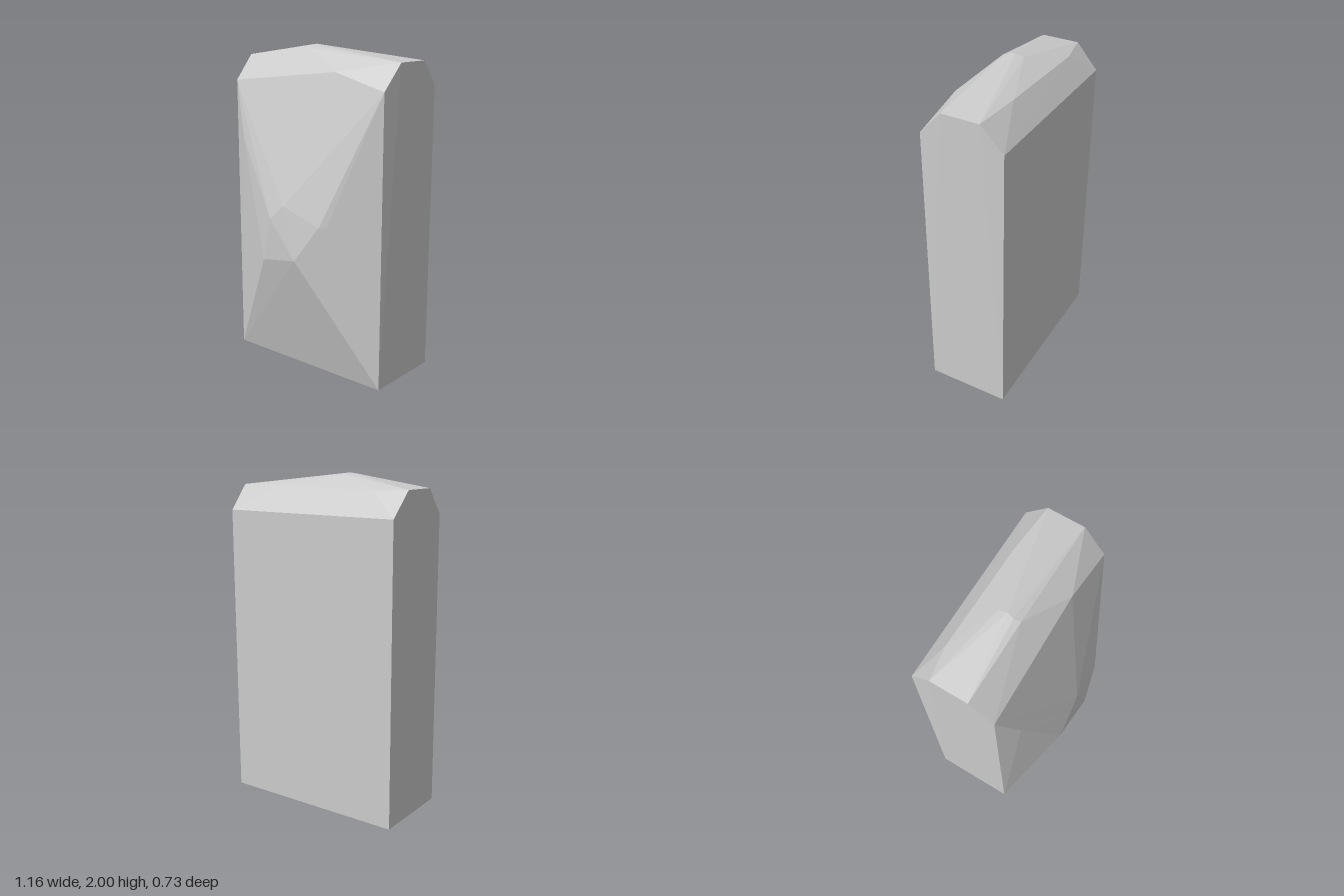
import * as THREE from 'three';
import { ConvexGeometry } from 'three/addons/geometries/ConvexGeometry.js';

export function createModel() {
  const group = new THREE.Group();
  group.name = 'facetedSlab';
  const v = (x, y, z) => new THREE.Vector3(x, y, z);
  const points = [];

  // Side panels, mirrored: square foot, chamfered top corners
  for (const s of [-1, 1]) {
    points.push(
      v(s * 0.57, 0, 0.14), v(s * 0.57, 0, -0.365),
      v(s * 0.57, 1.77, 0.14), v(s * 0.57, 1.775, -0.365),
      v(s * 0.58, 1.922, 0), v(s * 0.58, 1.922, -0.23),
    );
  }

  // Crown: off-centre peak and the bevel corners around it
  points.push(
    v(-0.09, 2, -0.07), v(-0.1, 1.995, -0.03), v(-0.09, 1.98, 0.01), v(-0.1, 1.99, -0.12),
    v(0.22, 1.86, 0.135), v(-0.38, 1.915, -0.265), v(0.27, 1.925, -0.255),
  );

  // Bulging front: irregular chipped corners
  points.push(
    v(-0.1, 0.99, 0.352), v(0, 1.08, 0.342), v(0.1, 0.765, 0.362), v(-0.17, 0.715, 0.338),
    v(0.26, 0.99, 0.326), v(0.3, 0.99, 0.306), v(-0.44, 1.42, 0.217),
  );

  const slab = new THREE.Mesh(
    new ConvexGeometry(points),
    new THREE.MeshStandardMaterial({ color: 0xcccccc, flatShading: true }),
  );
  slab.name = 'stoneSlab';
  group.add(slab);
  return group;
}
